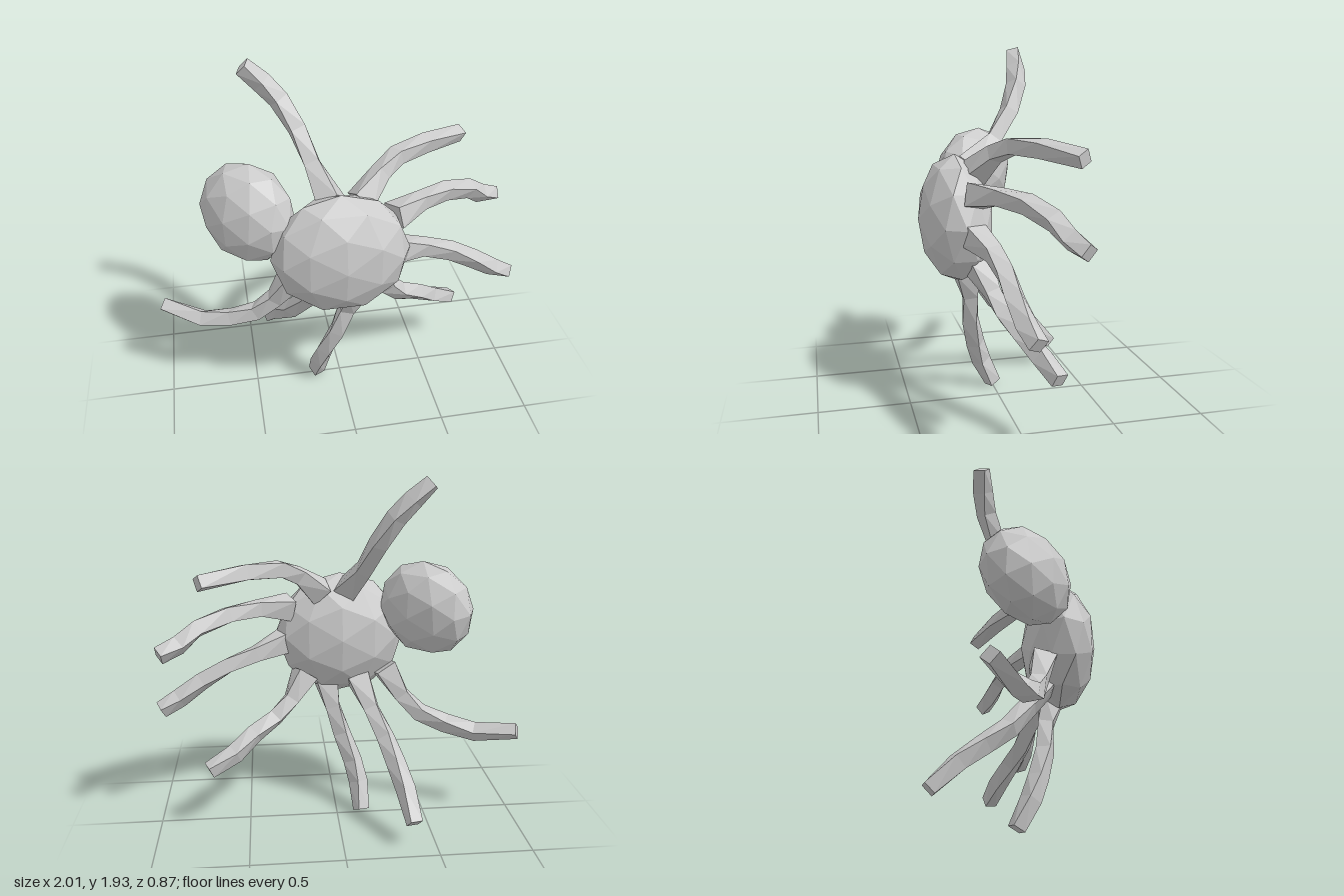
import * as THREE from 'three';

const material = new THREE.MeshStandardMaterial({ color: 0xcccccc, flatShading: true });

// Faceted ellipsoid: radii along its own axes, then placed and turned
function blob(name, radii, position, rotation) {
  const geometry = new THREE.IcosahedronGeometry(1, 1);
  geometry.scale(...radii);
  const mesh = new THREE.Mesh(geometry, material);
  mesh.name = name;
  mesh.position.set(...position);
  mesh.rotation.set(...rotation);
  return mesh;
}

// Four-sided limb lofted along a bent path, twisting a little at each joint
function limb(name, points) {
  const path = points.map((p) => new THREE.Vector3(...p));
  const last = path.length - 1;
  const positions = [];
  const index = [];
  const sides = 4;
  const side = new THREE.Vector3(0, 0, 1);

  path.forEach((p, i) => {
    const along = path[Math.min(i + 1, last)].clone().sub(path[Math.max(i - 1, 0)]).normalize();
    side.addScaledVector(along, -side.dot(along)).normalize();
    const up = new THREE.Vector3().crossVectors(along, side);
    const radius = i === 0 ? 0.085 : i === last ? 0.048 : 0.055;
    for (let k = 0; k < sides; k++) {
      const a = (k / sides) * Math.PI * 2 + 0.6 + i * 0.25;
      const v = p.clone()
        .addScaledVector(side, Math.cos(a) * radius)
        .addScaledVector(up, Math.sin(a) * radius);
      positions.push(v.x, v.y, v.z);
    }
  });

  // Walls between neighbouring rings
  for (let i = 0; i < last; i++) {
    for (let k = 0; k < sides; k++) {
      const a = i * sides + k;
      const b = i * sides + (k + 1) % sides;
      index.push(a, a + sides, b, b, a + sides, b + sides);
    }
  }
  // End caps
  const e = last * sides;
  index.push(0, 1, 2, 0, 2, 3, e, e + 2, e + 1, e, e + 3, e + 2);

  // Make sure the faces point outwards (side x up follows the path)
  for (let i = 0; i < index.length; i += 3) {
    [index[i + 1], index[i + 2]] = [index[i + 2], index[i + 1]];
  }
  const geometry = new THREE.BufferGeometry();
  geometry.setAttribute('position', new THREE.Float32BufferAttribute(positions, 3));
  geometry.setIndex(index);
  const flat = geometry.toNonIndexed();
  flat.computeVertexNormals();
  const mesh = new THREE.Mesh(flat, limbMaterial);
  mesh.name = name;
  return mesh;
}

const limbMaterial = material.clone();
limbMaterial.side = THREE.DoubleSide;

// Limb paths from the body outwards, clockwise from the top
const limbs = {
  upperRightLeg: [[-0.07, 1.31, 0.15], [-0.14, 1.45, -0.01], [-0.2, 1.6, -0.11], [-0.28, 1.74, -0.17], [-0.36, 1.83, -0.19], [-0.45, 1.915, -0.2]],
  upperLeftLeg: [[0.08, 1.3, 0.15], [0.2, 1.41, 0.07], [0.3, 1.46, 0], [0.48, 1.465, -0.1], [0.71, 1.44, -0.23]],
  midUpperLeftLeg: [[0.25, 1.21, 0.18], [0.42, 1.23, 0.09], [0.58, 1.22, 0], [0.74, 1.17, -0.08], [0.83, 1.1, -0.13], [0.93, 1.06, -0.18]],
  midLowerLeftLeg: [[0.26, 1.02, 0.2], [0.44, 0.96, 0.13], [0.6, 0.9, 0.11], [0.74, 0.82, 0.1], [0.87, 0.73, 0.08], [0.97, 0.675, 0.055]],
  lowerLeftLeg: [[0.17, 0.83, 0.15], [0.25, 0.7, 0.09], [0.34, 0.61, 0.05], [0.46, 0.54, -0.01], [0.57, 0.455, -0.08], [0.71, 0.385, -0.13]],
  bottomLeftLeg: [[0.05, 0.78, 0.2], [0.01, 0.62, 0.16], [-0.04, 0.46, 0.15], [-0.1, 0.3, 0.11], [-0.13, 0.18, 0.07], [-0.14, 0.035, 0]],
  bottomRightLeg: [[-0.13, 0.8, 0.15], [-0.2, 0.64, 0.06], [-0.27, 0.5, -0.04], [-0.31, 0.4, -0.16], [-0.345, 0.3, -0.28], [-0.375, 0.16, -0.41]],
  lowerRightLeg: [[-0.28, 0.86, 0.13], [-0.38, 0.7, 0.1], [-0.48, 0.6, 0.07], [-0.62, 0.545, 0.03], [-0.78, 0.51, -0.03], [-0.99, 0.55, -0.14]],
};

export function createModel() {
  const model = new THREE.Group();
  model.name = 'spider';
  model.add(blob('frontBody', [0.365, 0.345, 0.2], [-0.035, 1.045, 0.23], [0, 0, 0]));
  // Egg-shaped rear body, its long axis running diagonally behind the front body
  model.add(blob('rearBody', [0.28, 0.265, 0.185], [-0.49, 1.225, 0.035], [-0.15, -Math.PI / 4, 0, 'YXZ']));
  for (const [name, points] of Object.entries(limbs)) model.add(limb(name, points));
  return model;
}
